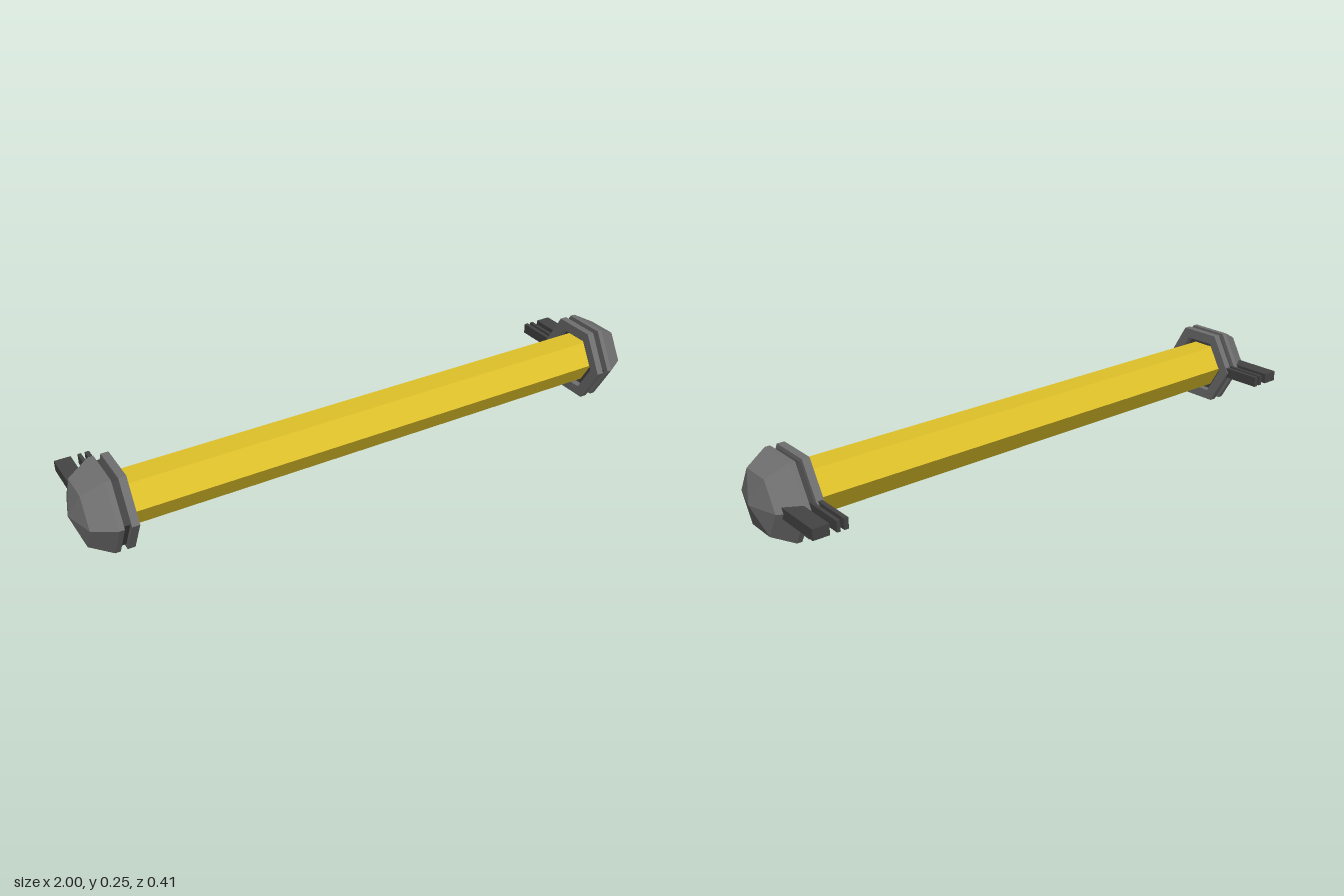
import * as THREE from 'three';

const CY = 0.125, CZ = 0.063; // axis of the bar
const mat = (color) => new THREE.MeshStandardMaterial({ color, flatShading: true });

export function createModel() {
  const model = new THREE.Group();
  const yellow = mat(0xe0c22a), grey = mat(0x707070), dark = mat(0x444444);

  // six-sided solid along x, from [radius, distance] pairs
  const hexLathe = (name, profile, material, side) => {
    const geo = new THREE.LatheGeometry(profile.map(([r, d]) => new THREE.Vector2(r, d)), 6);
    const mesh = new THREE.Mesh(geo, material);
    mesh.name = name;
    mesh.rotation.z = -side * Math.PI / 2;
    mesh.position.set(0, CY, CZ);
    return mesh;
  };

  // long hexagonal bar
  const bar = hexLathe('bar', [[0, -0.88], [0.084, -0.88], [0.084, 0.88], [0, 0.88]], yellow, 1);
  bar.position.z = 0.059;
  model.add(bar);

  for (const side of [1, -1]) {
    const end = new THREE.Group();
    end.name = side > 0 ? 'leftEnd' : 'rightEnd';

    // faceted cap, recessed flange and the groove between them
    end.add(hexLathe('cap', [[0, 0.883], [0.144, 0.883], [0.144, 0.9], [0.102, 0.97], [0, 1]], grey, side));
    end.add(hexLathe('flange', [[0.105, 0.868], [0.105, 0.838], [0.144, 0.838], [0.144, 0.862], [0.1, 0.862]], grey, side));
    end.add(hexLathe('groove', [[0, 0.862], [0.129, 0.862], [0.129, 0.884], [0, 0.884]], dark, side));

    // one thick and two thin prongs pointing back: [x, width, front z]
    for (const [x, w, front] of [[0.926, 0.052, -0.04], [0.873, 0.011, -0.045], [0.849, 0.014, -0.06]]) {
      const prong = new THREE.Mesh(new THREE.BoxGeometry(w, 0.035, front + 0.206), dark);
      prong.name = 'prong';
      prong.position.set(side * x, CY, (front - 0.206) / 2);
      end.add(prong);
    }
    model.add(end);
  }
  return model;
}
